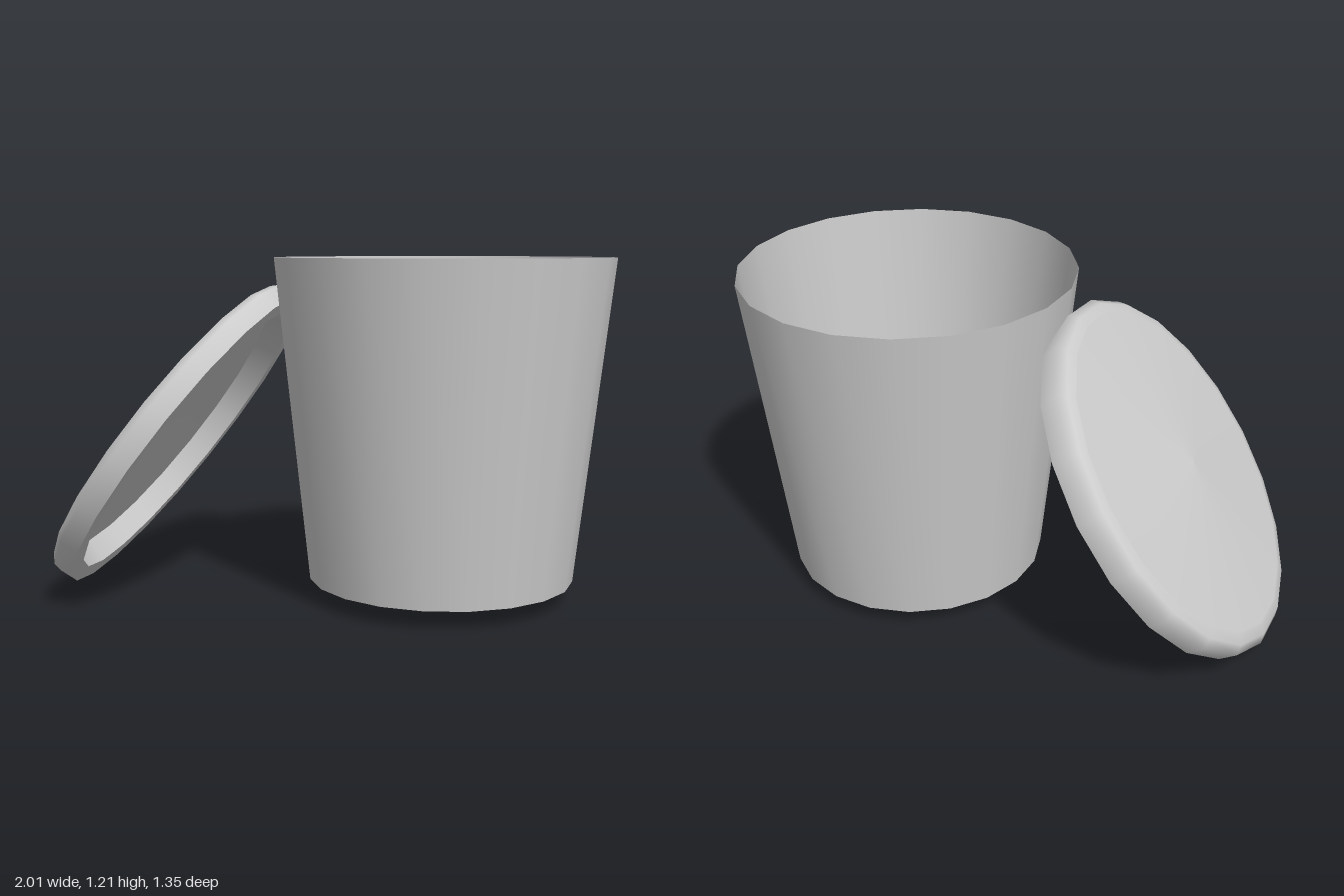
import * as THREE from 'three';

const SIDES = 20;
const material = new THREE.MeshStandardMaterial({ color: 0xcccccc, side: THREE.DoubleSide });

// Turn a profile of [radius, height] points; each call is one smooth band
function turned(name, profile) {
  const points = profile.map(([r, y]) => new THREE.Vector2(r, y));
  const mesh = new THREE.Mesh(new THREE.LatheGeometry(points, SIDES), material);
  mesh.name = name;
  return mesh;
}

export function createModel() {
  const model = new THREE.Group();
  model.name = 'bucketWithLid';

  // Open tapered bucket with a thin wall
  const bucket = new THREE.Group();
  bucket.name = 'bucket';
  bucket.add(
    turned('bucketWall', [[0.475, 0.065], [0.6, 1.215]]),
    turned('bucketFloor', [[0, 0.065], [0.475, 0.065]]),
  );
  bucket.position.x = 0.4;
  model.add(bucket);

  // Lid leaning against the bucket, its open side facing the bucket
  const lid = new THREE.Group();
  lid.name = 'lid';
  lid.add(
    turned('lidCeiling', [[0, 0.045], [0.57, 0.02]]),
    turned('lidInnerWall', [[0.57, 0.02], [0.6, -0.068]]),
    turned('lidLip', [[0.6, -0.068], [0.667, -0.068]]),
    turned('lidRim', [[0.667, -0.068], [0.675, 0], [0.648, 0.028], [0.61, 0.036]]),
    turned('lidTop', [[0.61, 0.036], [0, 0.08]]),
  );
  lid.position.set(-0.597, 0.575, 0);
  lid.rotation.z = Math.asin(0.8);
  model.add(lid);

  return model;
}
